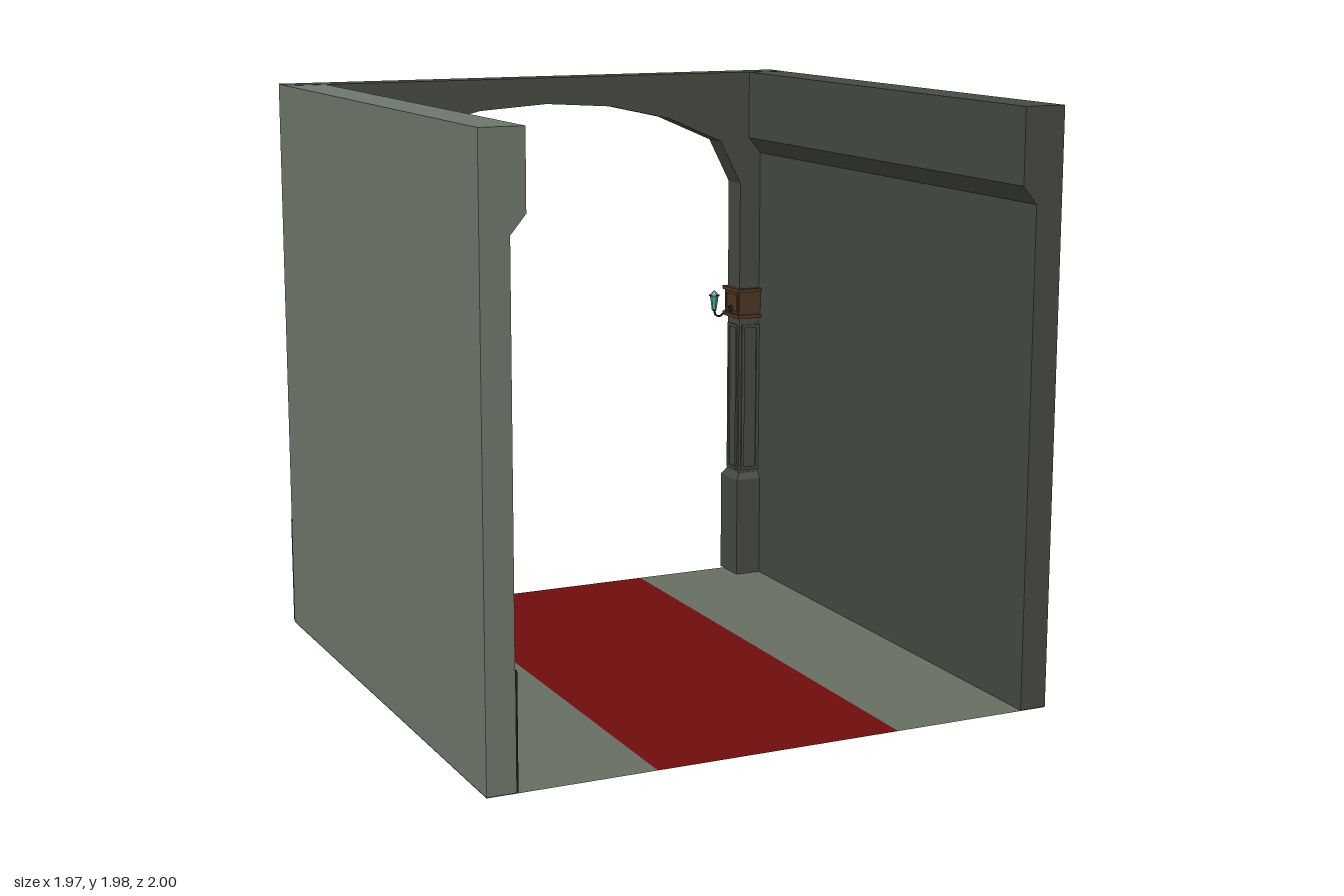
import * as THREE from 'three';

const mat = (color, side = THREE.FrontSide) => new THREE.MeshStandardMaterial({ color, side, flatShading: true });
const M = {
  lightWall: mat(0x6d776a), darkWall: mat(0x454a42), floor: mat(0x666d61, THREE.DoubleSide),
  carpet: mat(0x6f0d0d, THREE.DoubleSide), panel: mat(0x1b1c19), iron: mat(0x2c302b),
  glass: mat(0x1018ee), wood: mat(0x4c3623), bracket: mat(0x24231f), lantern: mat(0x4f9f96),
};

function add(parent, name, geo, material, x = 0, y = 0, z = 0) {
  const mesh = new THREE.Mesh(geo, material);
  mesh.name = name;
  mesh.position.set(x, y, z);
  parent.add(mesh);
  return mesh;
}

// Box given by its two extreme corners
function box(parent, name, material, [x0, y0, z0], [x1, y1, z1]) {
  return add(parent, name, new THREE.BoxGeometry(Math.abs(x1 - x0), y1 - y0, z1 - z0), material,
    (x0 + x1) / 2, (y0 + y1) / 2, (z0 + z1) / 2);
}

const polygon = pts => new THREE.Shape(pts.map(p => new THREE.Vector2(...p)));
const rect = (x0, y0, x1, y1) => polygon([[x0, y0], [x1, y0], [x1, y1], [x0, y1]]);
const extrude = (shape, depth) => new THREE.ExtrudeGeometry(shape, { depth, bevelEnabled: false, curveSegments: 16 });

// Flat rectangular frame in the xy plane
function frame(x0, y0, x1, y1, width, depth) {
  const s = rect(x0, y0, x1, y1);
  s.holes.push(rect(x0 + width, y0 + width, x1 - width, y1 - width));
  return extrude(s, depth);
}

// Window outline: straight sides with a half-elliptical head
const SILL = 0.43, SPRING = 1.31, HALF = 0.43, RISE = 0.33;
function windowShape(inset = 0) {
  const s = new THREE.Shape();
  s.moveTo(-HALF + inset, SILL + inset);
  s.lineTo(HALF - inset, SILL + inset);
  s.lineTo(HALF - inset, SPRING);
  s.absellipse(0, SPRING, HALF - inset, RISE - inset, 0, Math.PI, false);
  s.closePath();
  return s;
}

// Overhanging upper part of a side wall
function crown(parent, side, material) {
  const pts = [[0.985, 1.67], [0.985, 1.98], [0.84, 1.98], [0.84, 1.73], [0.89, 1.67]].map(([x, y]) => [x * side, y]);
  add(parent, 'wallCrown', extrude(polygon(pts), 1.975), material, 0, 0, -0.975);
}

function windowWall() {
  const g = new THREE.Group();
  g.name = 'windowWall';
  box(g, 'wallBacking', M.lightWall, [-0.985, 0.002, -0.975], [-0.955, 1.67, 1]);
  crown(g, -1, M.lightWall);

  // Turned group: local x runs along -z, local z points into the room
  const w = new THREE.Group();
  w.name = 'windowSide';
  w.rotation.y = Math.PI / 2;
  w.position.set(-0.955, 0, 0.06);
  g.add(w);
  const slab = rect(-0.94, 0.002, 1.035, 1.67);
  slab.holes.push(windowShape());
  add(w, 'wallFace', extrude(slab, 0.065), M.lightWall);
  add(w, 'windowGlass', new THREE.ShapeGeometry(windowShape(), 16), M.glass, 0, 0, 0.004);
  const rim = windowShape();
  rim.holes.push(windowShape(0.022));
  add(w, 'windowRim', extrude(rim, 0.03), M.iron, 0, 0, 0.003);

  // Grille
  for (let i = -3; i <= 3; i++) {
    const t = i % 2 ? 0.01 : 0.016;
    box(w, 'verticalBar', M.iron, [i * 0.108 - t, SILL, 0.008], [i * 0.108 + t, SPRING, 0.03]);
  }
  for (const y of [0.53, 0.8, 1.08, SPRING])
    box(w, 'crossBar', M.iron, [-HALF, y - 0.014, 0.008], [HALF, y + 0.014, 0.036]);

  // Fan light
  const fan = new THREE.Group();
  fan.name = 'fanLight';
  fan.position.set(0, SPRING, 0.019);
  fan.scale.y = RISE / HALF;
  w.add(fan);
  add(fan, 'fanArc', new THREE.TorusGeometry(0.23, 0.014, 4, 16, Math.PI), M.iron);
  for (let i = 1; i < 6; i++) {
    const a = i * Math.PI / 6, r0 = i % 2 ? 0.22 : 0.02;
    const spoke = add(fan, 'fanSpoke', new THREE.BoxGeometry(0.42 - r0, 0.024, 0.022), M.iron,
      Math.cos(a) * (0.42 + r0) / 2, Math.sin(a) * (0.42 + r0) / 2, 0);
    spoke.rotation.z = a;
  }

  // Wainscot with three framed panels
  box(w, 'wainscot', M.panel, [-0.94, 0.003, 0.06], [0.94, 0.38, 0.072]);
  for (const [a, b] of [[-0.91, -0.52], [-0.44, 0.36], [0.45, 0.89]])
    add(w, 'wainscotFrame', frame(a, 0.05, b, 0.34, 0.02, 0.008), M.panel, 0, 0, 0.072);
  return g;
}

// Pillar dressing for the +x side; side mirrors it
function pillarDetails(side) {
  const g = new THREE.Group();
  g.name = side > 0 ? 'leftPillar' : 'rightPillar';
  const X = x => x * side;
  const span = (a, b) => [Math.min(X(a), X(b)), Math.max(X(a), X(b))];

  // Plinth with a sloped top
  box(g, 'plinth', M.darkWall, [X(0.79), 0.002, -1], [X(0.98), 0.385, -0.86]);
  const cap = new THREE.BoxGeometry(0.19, 0.025, 0.14);
  const p = cap.attributes.position;
  for (let i = 0; i < p.count; i++)
    if (p.getY(i) > 0) p.setXYZ(i, p.getX(i) * 0.84, p.getY(i), p.getZ(i) * 0.75);
  add(g, 'plinthCap', cap, M.darkWall, X(0.885), 0.3975, -0.93);

  // Panel frames on the three exposed faces
  const [a, b] = span(0.815, 0.89);
  add(g, 'frontPanelFrame', frame(a, 0.42, b, 1.0, 0.012, 0.006), M.darkWall, 0, 0, -0.88);
  const [c, d] = span(0.815, 0.91);
  add(g, 'backPanelFrame', frame(c, 0.42, d, 1.0, 0.012, 0.006), M.darkWall, 0, 0, -0.986);
  const inner = add(g, 'innerPanelFrame', frame(-0.04, 0.42, 0.04, 1.0, 0.012, 0.006), M.darkWall, X(0.805), 0, -0.93);
  inner.rotation.y = -side * Math.PI / 2;

  // Wooden collar with mouldings
  box(g, 'woodCollar', M.wood, [X(0.798), 1.04, -0.987], [X(0.905), 1.135, -0.868]);
  for (const y of [1.028, 1.13])
    box(g, 'collarMoulding', M.wood, [X(0.788), y, -0.994], [X(0.912), y + 0.014, -0.86]);
  const face = add(g, 'collarFrame', frame(-0.055, 1.045, 0.055, 1.128, 0.01, 0.005), M.wood, X(0.798), 0, -0.928);
  face.rotation.y = -side * Math.PI / 2;

  // Lantern on a curved arm
  const arm = new THREE.CatmullRomCurve3([[0.8, 1.06], [0.782, 1.068], [0.765, 1.05], [0.745, 1.034], [0.726, 1.04], [0.72, 1.062]]
    .map(([x, y]) => new THREE.Vector3(X(x), y, -0.93)));
  add(g, 'lanternArm', new THREE.TubeGeometry(arm, 20, 0.004, 6), M.bracket);
  add(g, 'wallRosette', new THREE.CylinderGeometry(0.014, 0.014, 0.008, 10), M.bracket, X(0.792), 1.06, -0.93).rotation.z = Math.PI / 2;
  add(g, 'lanternGlass', new THREE.CylinderGeometry(0.017, 0.009, 0.055, 6), M.lantern, X(0.72), 1.088, -0.93);
  add(g, 'lanternRim', new THREE.CylinderGeometry(0.02, 0.02, 0.005, 6), M.bracket, X(0.72), 1.117, -0.93);
  add(g, 'lanternRoof', new THREE.ConeGeometry(0.018, 0.02, 6), M.lantern, X(0.72), 1.129, -0.93);
  add(g, 'lanternFoot', new THREE.CylinderGeometry(0.01, 0.006, 0.006, 6), M.bracket, X(0.72), 1.059, -0.93);
  return g;
}

export function createModel() {
  const root = new THREE.Group();
  root.name = 'hallSection';

  // Floor strips and carpet
  for (const [name, m, x0, x1] of [['floorRight', M.floor, -0.985, -0.425], ['carpet', M.carpet, -0.425, 0.425], ['floorLeft', M.floor, 0.425, 0.985]])
    add(root, name, new THREE.PlaneGeometry(x1 - x0, 1.98).rotateX(-Math.PI / 2), m, (x0 + x1) / 2, 0, 0.01);

  // Side walls
  root.add(windowWall());
  const plain = new THREE.Group();
  plain.name = 'plainWall';
  box(plain, 'wallBody', M.darkWall, [0.89, 0.002, -0.975], [0.985, 1.67, 1]);
  crown(plain, 1, M.darkWall);
  root.add(plain);

  // Arched end wall
  const half = [[0.805, 0.002], [0.805, 1.555], [0.72, 1.72], [0.5, 1.815], [0.26, 1.868]];
  const mirrored = half.map(([x, y]) => [-x, y]).reverse();
  const arch = polygon([[0.982, 0.002], [0.982, 1.981], [-0.982, 1.981], [-0.982, 0.002],
    ...mirrored.reverse(), [0, 1.885], ...half.slice().reverse()]);
  add(root, 'archWall', extrude(arch, 0.1), M.darkWall, 0, 0, -0.98);

  for (const side of [1, -1]) root.add(pillarDetails(side));
  return root;
}
